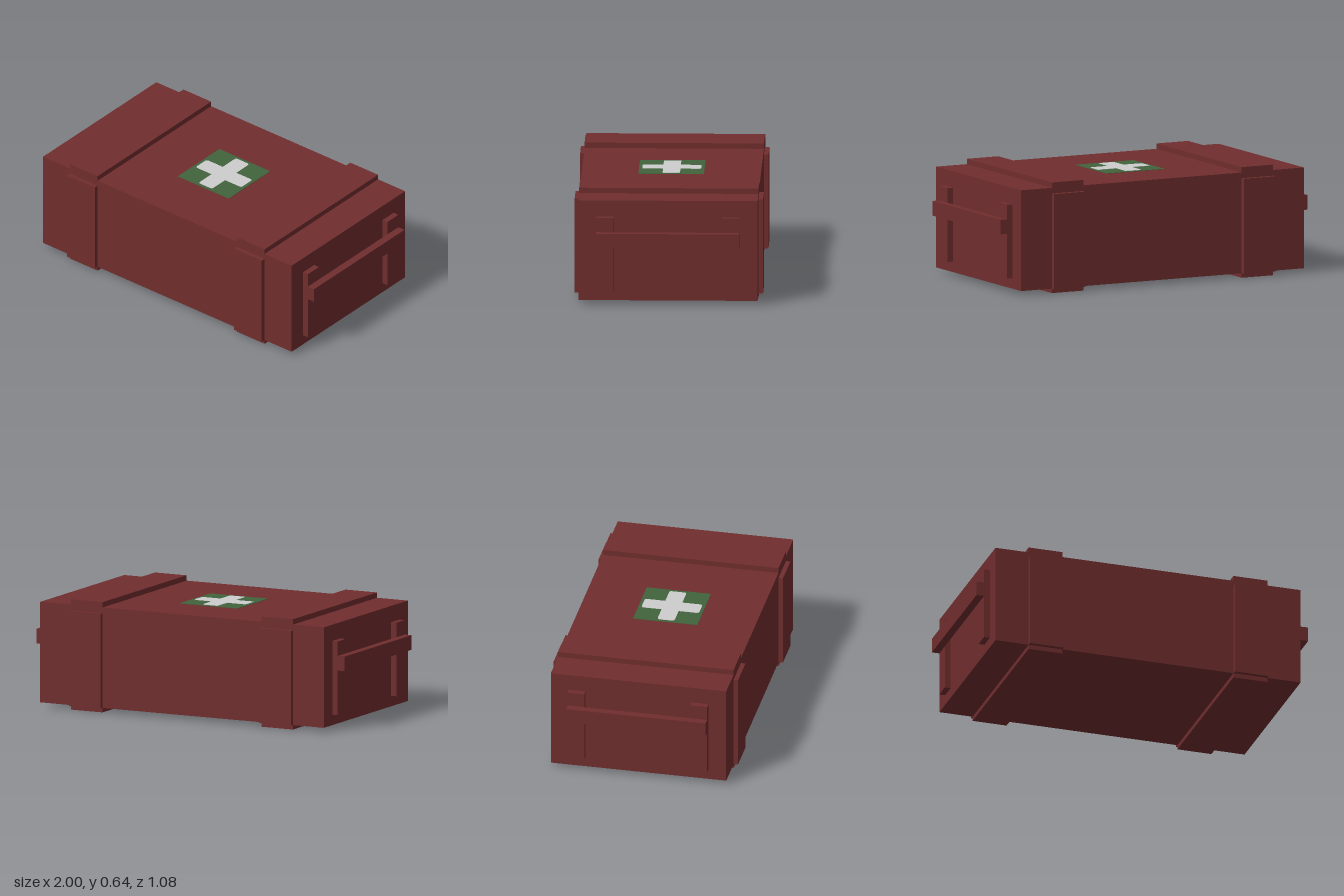
import * as THREE from 'three';

const red = new THREE.MeshStandardMaterial({ color: 0x702d2d });
red.name = 'dark red paint';
const green = new THREE.MeshStandardMaterial({ color: 0x42633c });
green.name = 'emblem green';
const white = new THREE.MeshStandardMaterial({ color: 0xcecece });
white.name = 'emblem white';

// Box given by its lower and upper limits on each axis
function box(name, [x0, x1], [y0, y1], [z0, z1], material = red) {
  const mesh = new THREE.Mesh(new THREE.BoxGeometry(x1 - x0, y1 - y0, z1 - z0), material);
  mesh.position.set((x0 + x1) / 2, (y0 + y1) / 2, (z0 + z1) / 2);
  mesh.name = name;
  return mesh;
}

// Limits mirrored to the negative side when s is -1
const side = (s, a, b) => (s > 0 ? [a, b] : [-b, -a]);

// Plus-shaped plate with softly rounded outer ends
function crossGeometry(reach, half, r, depth) {
  const shape = new THREE.Shape();
  for (let i = 0; i < 4; i++) {
    const c = Math.round(Math.cos(i * Math.PI / 2));
    const s = Math.round(Math.sin(i * Math.PI / 2));
    const p = (x, y) => [x * c - y * s, x * s + y * c];
    if (i === 0) shape.moveTo(...p(half, -half));
    else shape.lineTo(...p(half, -half));
    shape.lineTo(...p(reach - r, -half));
    shape.quadraticCurveTo(...p(reach, -half), ...p(reach, -half + r));
    shape.lineTo(...p(reach, half - r));
    shape.quadraticCurveTo(...p(reach, half), ...p(reach - r, half));
  }
  shape.closePath();
  const geometry = new THREE.ExtrudeGeometry(shape, { depth, bevelEnabled: false, curveSegments: 3 });
  return geometry.rotateX(-Math.PI / 2);
}

export function createModel() {
  const model = new THREE.Group();
  model.name = 'medicalCrate';

  model.add(box('crateBody', [-0.92, 0.92], [0.026, 0.61], [-0.514, 0.514]));

  for (const s of [1, -1]) {
    const label = s > 0 ? 'left' : 'right';

    // Planks wrapped round the crate
    const strap = new THREE.Group();
    strap.name = label + 'Strap';
    const x = side(s, 0.515, 0.72);
    strap.add(
      box('topPlank', x, [0.61, 0.641], [-0.514, 0.514]),
      box('bottomPlank', x, [0, 0.026], [-0.514, 0.514]),
      box('frontPlank', x, [0.026, 0.577], [0.514, 0.54]),
      box('backPlank', x, [0.026, 0.577], [-0.54, -0.514]),
    );

    // End handle: two uprights and a cross bar
    const handle = new THREE.Group();
    handle.name = label + 'Handle';
    for (const t of [1, -1]) {
      handle.add(box('handleUpright', side(s, 0.92, 0.955), [0.087, 0.515], side(t, 0.31, 0.41)));
    }
    handle.add(box('handleBar', side(s, 0.955, 1), [0.346, 0.431], [-0.41, 0.41]));
    model.add(strap, handle);
  }

  // Painted emblem on the lid
  const emblem = new THREE.Group();
  emblem.name = 'lidEmblem';
  emblem.add(box('emblemSquare', [-0.188, 0.188], [0.61, 0.612], [-0.188, 0.188], green));
  const cross = new THREE.Mesh(crossGeometry(0.169, 0.05, 0.015, 0.002), white);
  cross.name = 'emblemCross';
  cross.position.y = 0.612;
  emblem.add(cross);
  model.add(emblem);

  return model;
}
